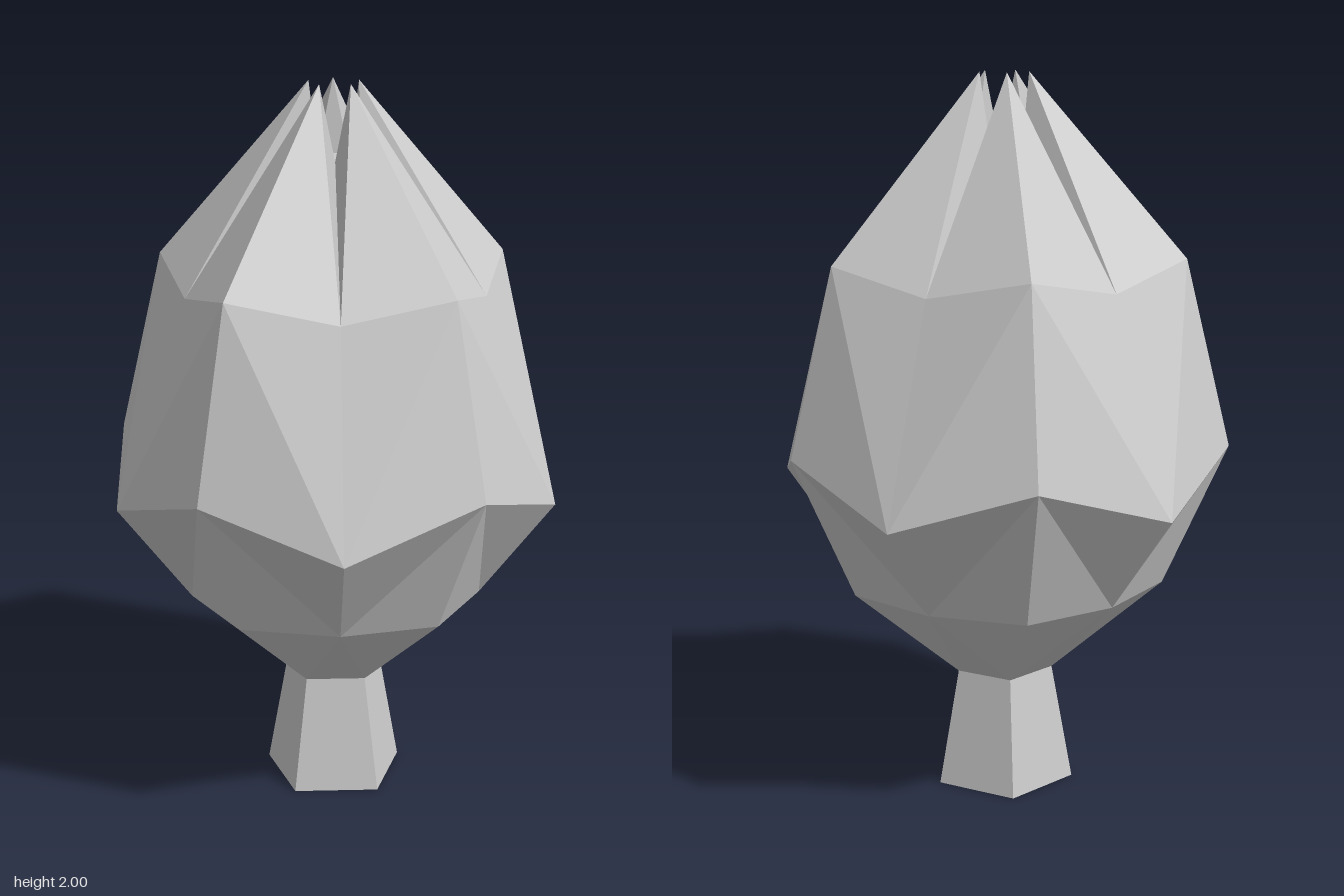
import * as THREE from 'three';

const PETALS = 5;
const STEP = (Math.PI * 2) / PETALS;

// Profiles as [radius, height]: the ridge of a petal and the valley between two petals
const RIDGE = [[0.14, 0.33], [0.45, 0.6], [0.625, 1.0], [0.5, 1.51], [0.07, 2.0]];
const VALLEY = [null, [0.42, 0.6], [0.625, 0.88], [0.42, 1.45], [0.072, 1.8]];

// Angle 0 is the front, growing towards +x
const at = ([r, y], angle) => [r * Math.sin(angle), y, r * Math.cos(angle)];

function petalGeometry() {
  const positions = [];
  for (const side of [1, -1]) {
    const tri = (a, b, c) => positions.push(...a, ...(side > 0 ? b : c), ...(side > 0 ? c : b));
    const m = RIDGE.map((p) => at(p, 0));
    const v = VALLEY.map((p) => p && at(p, (side * STEP) / 2));
    const chord = (p) => at([p[0] * Math.cos(STEP / 2), p[1]], 0);

    // Underside, running down to the pentagonal stem
    const stemMid = at([RIDGE[0][0] * Math.cos(STEP / 2), RIDGE[0][1]], (side * STEP) / 2);
    tri(m[0], v[1], m[1]);
    tri(m[0], stemMid, v[1]);

    // Outer bands
    for (let i = 1; i < 4; i++) {
      tri(m[i], v[i], m[i + 1]);
      tri(v[i], v[i + 1], m[i + 1]);
    }

    // Inner face of the tip and its share of the closed top
    const foot = chord(VALLEY[4]);
    tri(m[4], v[4], foot);
    tri([0, VALLEY[4][1], 0], foot, v[4]);
  }
  const geometry = new THREE.BufferGeometry();
  geometry.setAttribute('position', new THREE.Float32BufferAttribute(positions, 3));
  geometry.computeVertexNormals();
  return geometry;
}

export function createModel() {
  const group = new THREE.Group();
  group.name = 'flowerBud';
  const material = new THREE.MeshStandardMaterial({ color: 0xcccccc, flatShading: true });

  // Five-sided tapered stem
  const stem = new THREE.Mesh(new THREE.CylinderGeometry(0.14, 0.2, 0.33, PETALS), material);
  stem.name = 'stem';
  stem.position.y = 0.165;
  group.add(stem);

  // Ring of folded petals
  const geometry = petalGeometry();
  for (let i = 0; i < PETALS; i++) {
    const petal = new THREE.Mesh(geometry, material);
    petal.name = `petal${i + 1}`;
    petal.rotation.y = i * STEP;
    group.add(petal);
  }
  return group;
}
